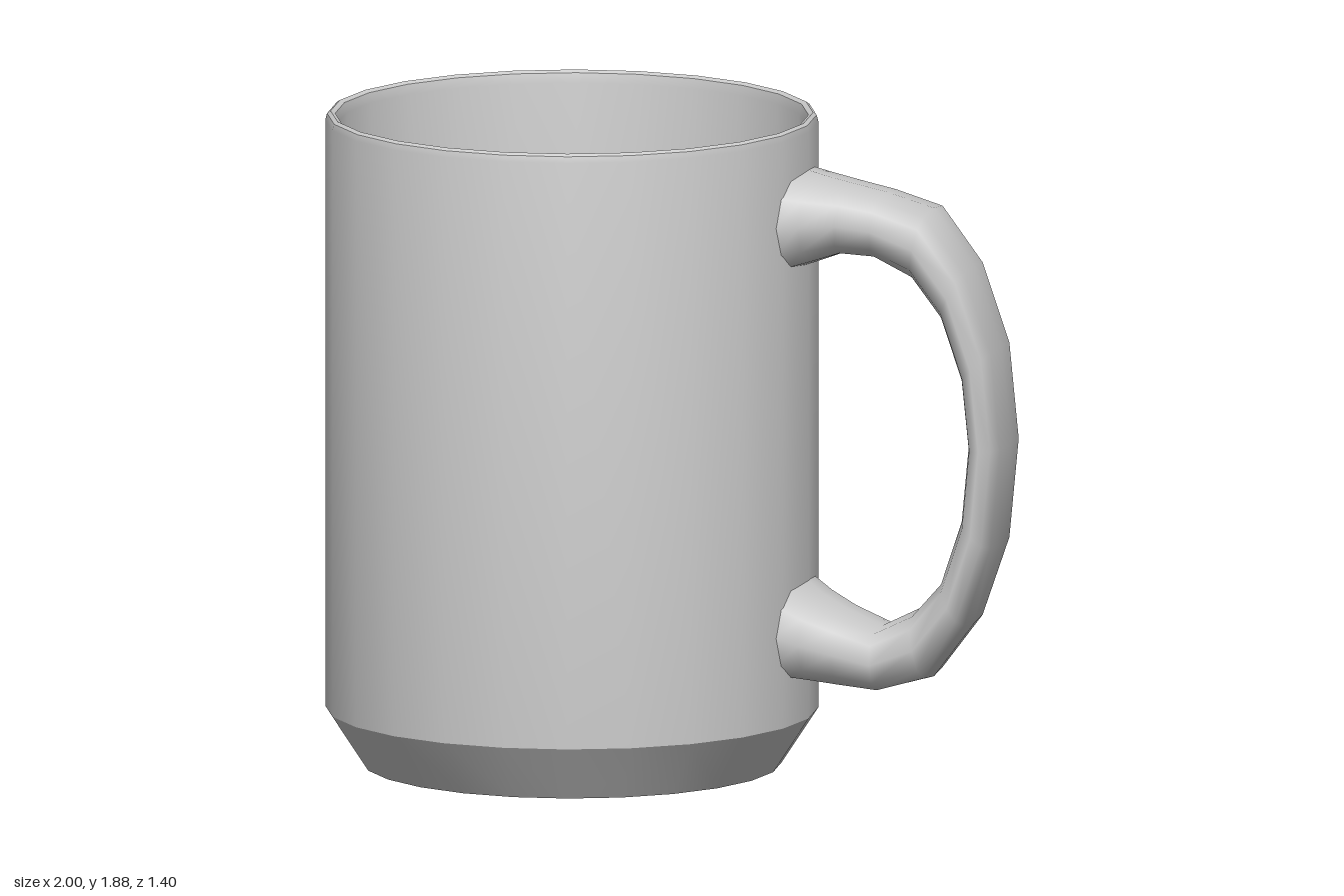
import * as THREE from 'three';
import { toCreasedNormals } from 'three/addons/utils/BufferGeometryUtils.js';

const CENTRE_X = -0.3; // axis of the cup
const SIDES = 24;

// Cup: one closed profile from the recessed base, up the wall, over the rim to the inner floor
function makeCup() {
  const profile = [
    [0, 0.04], [0.545, 0.04], [0.56, 0], [0.595, 0],
    [0.7, 0.16], [0.7, 1.85], [0.695, 1.868], [0.685, 1.875],
    [0.672, 1.868], [0.665, 1.84], [0.66, 0.19], [0.64, 0.16], [0, 0.16],
  ].map(([r, y]) => new THREE.Vector2(r, y));
  return toCreasedNormals(new THREE.LatheGeometry(profile, SIDES), 0.55);
}

// Handle: rounded cross-sections between outer and inner edge points of the loop
function makeHandle() {
  // [outer x, outer y, inner x, inner y, half width]
  const sections = [
    [0.39, 1.745, 0.39, 1.465, 0.212],
    [0.44, 1.73, 0.44, 1.485, 0.2],
    [0.53, 1.71, 0.52, 1.515, 0.175],
    [0.63, 1.69, 0.62, 1.51, 0.164],
    [0.77, 1.65, 0.73, 1.455, 0.162],
    [0.89, 1.49, 0.815, 1.345, 0.162],
    [0.97, 1.26, 0.875, 1.17, 0.162],
    [0.998, 0.98, 0.895, 0.98, 0.162],
    [0.97, 0.69, 0.875, 0.77, 0.162],
    [0.89, 0.46, 0.815, 0.59, 0.162],
    [0.77, 0.3, 0.73, 0.495, 0.162],
    [0.63, 0.26, 0.62, 0.44, 0.164],
    [0.52, 0.27, 0.51, 0.485, 0.178],
    [0.44, 0.28, 0.44, 0.525, 0.2],
    [0.39, 0.285, 0.39, 0.57, 0.212],
  ];
  const n = 12;
  const last = sections.length - 1;
  const round = (v) => Math.sign(v) * Math.abs(v) ** 0.75;
  const positions = [];
  const index = [];
  sections.forEach(([ox, oy, ix, iy, halfWidth], s) => {
    for (let k = 0; k < n; k++) {
      const a = (k / n) * Math.PI * 2;
      const t = (1 + round(Math.cos(a))) / 2; // 1 on the outer edge, 0 on the inner
      const z = halfWidth * round(Math.sin(a));
      let x = ix + (ox - ix) * t;
      // Roots follow the curve of the cup wall
      const wall = CENTRE_X + Math.sqrt(0.685 ** 2 - z * z);
      if (s === 0 || s === last) x = wall;
      else if (s === 1 || s === last - 1) x += (wall - 0.385) * 0.5;
      positions.push(x, iy + (oy - iy) * t, z);
      if (s < last) {
        const p = s * n + k;
        const q = s * n + ((k + 1) % n);
        index.push(p, q, p + n, q, q + n, p + n);
      }
    }
  });
  const geometry = new THREE.BufferGeometry();
  geometry.setAttribute('position', new THREE.Float32BufferAttribute(positions, 3));
  geometry.setIndex(index);
  geometry.computeVertexNormals();
  return geometry;
}

export function createModel() {
  const model = new THREE.Group();
  model.name = 'mug';
  const material = new THREE.MeshStandardMaterial({ color: 0xcccccc });

  const cup = new THREE.Mesh(makeCup(), material);
  cup.name = 'cup';
  cup.position.x = CENTRE_X;

  const handle = new THREE.Mesh(makeHandle(), material);
  handle.name = 'handle';

  model.add(cup, handle);
  return model;
}
